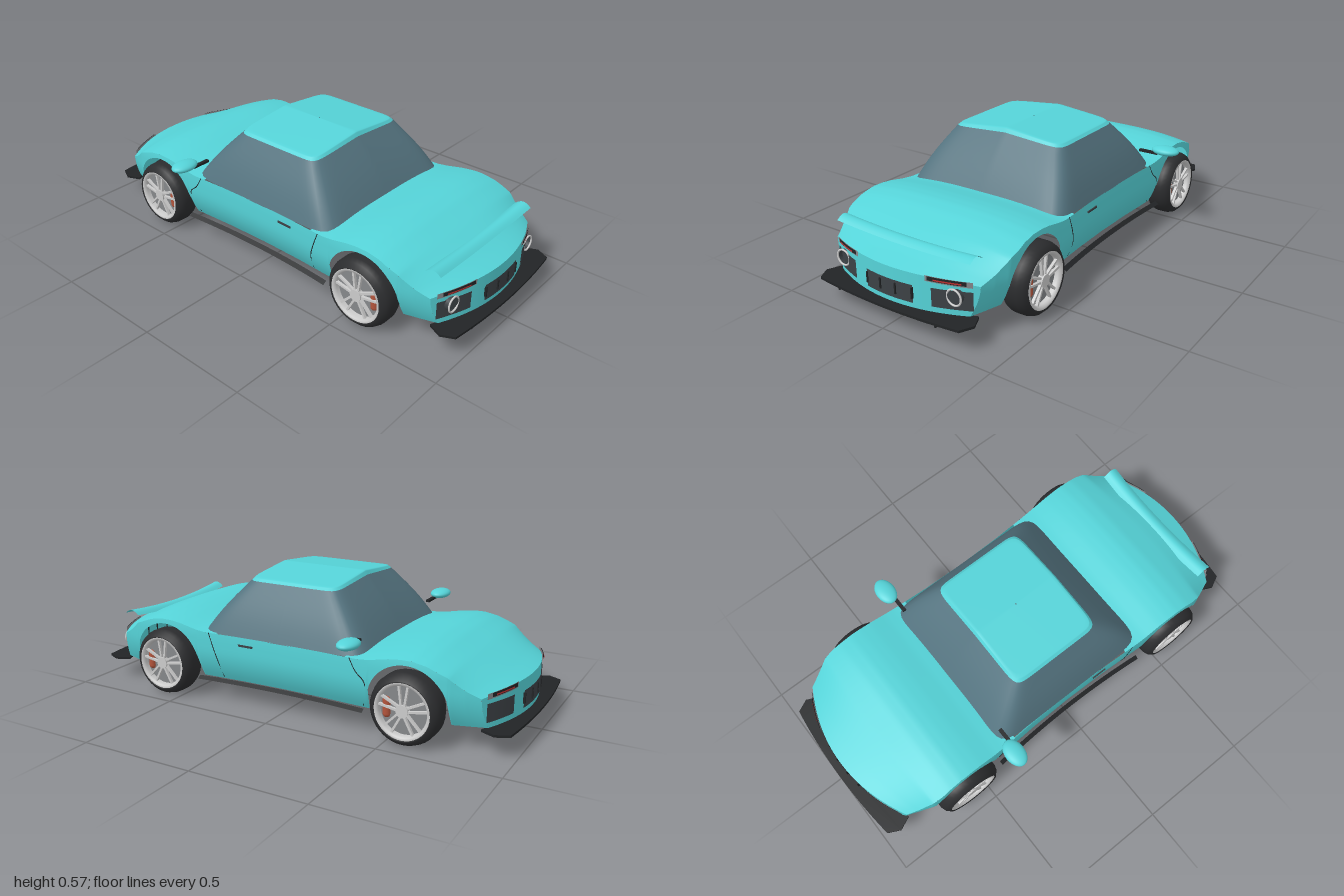
import * as THREE from 'three';
import { ParametricGeometry } from 'three/addons/geometries/ParametricGeometry.js';

const mat = (color) => new THREE.MeshStandardMaterial({ color, side: THREE.DoubleSide });
const PAINT = mat(0x55d3d8), GLASS = mat(0x54737f), DARK = mat(0x3c4145), BLACK = mat(0x222426);
const RUBBER = mat(0x2b2c2e), METAL = mat(0xc4c6c8), DISC = mat(0x85878a), RED = mat(0xc03030), ORANGE = mat(0xb4553c);

function add(parent, name, geometry, material, x = 0, y = 0, z = 0) {
  const m = new THREE.Mesh(geometry, material);
  m.name = name;
  m.position.set(x, y, z);
  parent.add(m);
  return m;
}
function surface(fn, nu, nv) {
  const g = new ParametricGeometry((u, v, p) => p.set(...fn(u, v)), nu, nv);
  g.computeVertexNormals();
  return g;
}
const lerp = THREE.MathUtils.lerp;
// piecewise lookup through [position, value] pairs
function table(pts, t) {
  for (let i = 1; i < pts.length; i++) {
    const [a, va] = pts[i - 1], [b, vb] = pts[i];
    if (t <= b) return lerp(va, vb, Math.max(0, (t - a) / (b - a)));
  }
  return pts[pts.length - 1][1];
}

// body rules, all symmetric front to back
const END = 0.955, AXLE = 0.58, WHEEL_Y = 0.148;
const halfWidth = (z) => table([[0, .39], [.2, .394], [.4, .405], [.58, .412], [.7, .41], [.77, .4], [.87, .38], [.955, .358]], Math.abs(z));
const crown = (z) => table([[.3, .32], [.37, .333], [.42, .34], [.5, .358], [.55, .365], [.6, .367], [.66, .358], [.76, .323], [.89, .268], [.955, .243]], Math.abs(z));
const shoulder = (z) => Math.abs(z) < .37 ? .31 : crown(z) - table([[.37, .023], [.5, .025], [.75, .03], [.955, .02]], Math.abs(z));
const bow = (x, z) => z - Math.sign(z) * .74 * x * x * Math.max(0, (Math.abs(z) - .74) / (END - .74));
const sideX = (z, y) => halfWidth(z) * (1 - 1.6 * Math.pow(Math.max(0, .24 - y), 2) / .3 - 4 * Math.pow(Math.max(0, y - .28), 2));
const lowEdge = (z) => {
  const d = Math.abs(z) - AXLE, r = .172;
  return Math.abs(d) < r ? .148 + Math.sqrt(r * r - d * d) : .1;
};
const deckY = (z, s) => lerp(shoulder(z), crown(z), 1 - Math.pow(Math.abs(s), 3));

function makeBody() {
  const g = new THREE.Group();
  g.name = 'body';
  for (const side of [1, -1]) {
    // flank with wheel arches
    add(g, 'sidePanel', surface((u, v) => {
      const z = lerp(-END, END, u), y = lerp(lowEdge(z), shoulder(z), v), x = side * sideX(z, y);
      return [x, y, bow(x, z)];
    }, 240, 10), PAINT);
    // hood and rear deck
    add(g, side > 0 ? 'rearDeck' : 'hood', surface((u, v) => {
      const z = side * lerp(.31, END, u), s = v * 2 - 1, x = s * sideX(z, shoulder(z));
      return [x, deckY(z, s), bow(x, z)];
    }, 40, 32), PAINT);
  }
  return g;
}

// bumper with grilles and lamps, built at +z
const patch = (x0, x1, y0, y1, out = .004, skew = 0) => surface((u, v) => {
  const x = lerp(x0, x1, u), y = lerp(y0, y1, v) + skew * (u - .5);
  return [x, y, END - .74 * x * x + out];
}, 10, 2);

function makeEnd(name) {
  const g = new THREE.Group();
  g.name = name;
  add(g, 'bumper', surface((u, v) => {
    const s = u * 2 - 1, y = lerp(.1, deckY(END, s), v), x = s * sideX(END, y);
    return [x, y, bow(x, END)];
  }, 32, 6), PAINT);
  add(g, 'centreGrille', patch(-.113, .113, .122, .195), DARK);
  for (const x of [-.11, -.037, .037, .11]) add(g, 'grilleBar', new THREE.BoxGeometry(.006, .045, .012), BLACK, x, .162, END - .74 * x * x + .003);
  for (const s of [1, -1]) {
    add(g, 'sideGrille', patch(s * .187, s * .335, .124, .2), DARK);
    add(g, 'lampHousing', patch(s * .165, s * .335, .22, .243, .004, -.008), DISC);
    add(g, 'lampFrame', patch(s * .175, s * .315, .226, .243, .007, -.006), BLACK);
    add(g, 'lamp', patch(s * .2, s * .3, .23, .236, .01, -.004), RED);
  }
  // flat lip under the bumper
  const lip = new THREE.Shape();
  lip.moveTo(-.345, .86);
  lip.lineTo(-.372, .92);
  lip.lineTo(-.345, .975);
  lip.quadraticCurveTo(0, 1.02, .345, .975);
  lip.lineTo(.372, .92);
  lip.lineTo(.345, .86);
  lip.quadraticCurveTo(0, 1.0, -.345, .86);
  const lipGeo = new THREE.ExtrudeGeometry(lip, { depth: .01, bevelEnabled: false, curveSegments: 20 });
  add(g, 'lip', lipGeo.rotateX(Math.PI / 2), BLACK, 0, .1, 0);
  return g;
}

// greenhouse outline: a rounded rectangle swept upward
const outline = (u, hx, hz) => {
  const a = u * Math.PI * 2, c = Math.cos(a), s = Math.sin(a), n = 12;
  const r = Math.pow(Math.pow(Math.abs(c), n) + Math.pow(Math.abs(s), n), -1 / n);
  return [r * c * hx, r * s * hz];
};
const rimY = (x) => .548 - .07 * Math.abs(x);

function makeCabin() {
  const g = new THREE.Group();
  g.name = 'cabin';
  add(g, 'windows', surface((u, v) => {
    const bulge = .01 * Math.sin(Math.PI * v);
    const [x, z] = outline(u, lerp(.39, .275, v) + bulge, lerp(.395, .215, v) + bulge);
    return [x, lerp(.308, rimY(x), v), z + .01];
  }, 128, 10), GLASS);
  add(g, 'roof', surface((u, v) => {
    const k = v < .2 ? 1 - .25 * v : lerp(.95, .01, (v - .2) / .8);
    const [x, z] = outline(u, .275 * k, .215 * k);
    const top = .567 - .1 * Math.abs(x);
    return [x, v < .2 ? lerp(rimY(x), top, v / .2) : top, z + .01];
  }, 128, 20), PAINT);
  return g;
}

// wheel with its outer face on +x
function makeWheel() {
  const g = new THREE.Group();
  const ring = (pts) => new THREE.LatheGeometry(pts.map((p) => new THREE.Vector2(...p)), 40).rotateZ(-Math.PI / 2);
  add(g, 'tire', ring([[.114, -.05], [.13, -.055], [.14, -.05], [.147, -.03], [.147, .015], [.14, .037], [.122, .055], [.114, .05]]), RUBBER);
  add(g, 'rim', ring([[.114, -.05], [.108, -.04], [.1, 0], [.1, .04], [.106, .052], [.116, .052]]), METAL);
  add(g, 'brakeDisc', new THREE.CylinderGeometry(.1, .1, .02, 32).rotateZ(Math.PI / 2), DISC, .015);
  add(g, 'hub', new THREE.CylinderGeometry(.022, .026, .03, 20).rotateZ(Math.PI / 2), METAL, .035);
  for (let i = 0; i < 5; i++) {
    const spoke = new THREE.Group();
    spoke.name = 'spoke';
    spoke.rotation.x = i * Math.PI * 2 / 5;
    for (const s of [1, -1]) add(spoke, 'spokeArm', new THREE.BoxGeometry(.012, .088, .009), METAL, .038, .06, s * .013).rotation.x = s * .14;
    g.add(spoke);
  }
  return g;
}

export function createModel() {
  const car = new THREE.Group();
  car.name = 'car';
  const front = makeEnd('frontEnd'), rear = makeEnd('rearEnd');
  front.rotation.y = Math.PI;
  car.add(makeBody(), makeCabin(), front, rear);

  // exhaust tips and diffuser fins
  for (const x of [-.275, .275]) {
    add(rear, 'exhaustTip', new THREE.TorusGeometry(.032, .004, 8, 32), METAL, x, .178, .912);
    add(rear, 'exhaustPipe', new THREE.CylinderGeometry(.03, .03, .03, 24, 1, true).rotateX(Math.PI / 2), DARK, x, .178, .898);
  }
  for (const x of [-.24, -.08, .08, .24]) add(rear, 'diffuserFin', new THREE.BoxGeometry(.006, .014, .07), BLACK, x, .084, .945);

  // arched spoiler blade dipping at the centre
  add(car, 'spoiler', surface((u, v) => {
    const s = u * 2 - 1, dip = .018 * (1 - s * s);
    return [s * .328, .3 + .027 * Math.sin(Math.PI * (.12 + .8 * v)) - dip, lerp(.872, .8, v) + .008 * s * s];
  }, 24, 8), PAINT);

  for (const s of [1, -1]) {
    // wheels and calipers
    for (const z of [AXLE, -AXLE]) {
      const wheel = makeWheel();
      wheel.name = z > 0 ? 'rearWheel' : 'frontWheel';
      wheel.position.set(s * .395, WHEEL_Y, z);
      if (s < 0) wheel.rotation.y = Math.PI;
      car.add(wheel);
      add(car, 'brakeCaliper', new THREE.CapsuleGeometry(.017, .055, 4, 10), ORANGE, s * .417, WHEEL_Y, z + .074);
    }
    // mirrors
    add(car, 'mirror', new THREE.SphereGeometry(1, 24, 16), PAINT, s * .46, .386, -.36).scale.set(.064, .021, .043);
    add(car, 'mirrorArm', new THREE.BoxGeometry(.09, .01, .016), BLACK, s * .385, .371, -.345);
    // sill strip
    add(car, 'sill', surface((u, v) => {
      const z = lerp(-.4, .4, u);
      return [s * (lerp(.385, .403, v) + .12 * z * z), lerp(.112, .1, v), z];
    }, 20, 1), BLACK);
    // door seams and handle
    const seam = (pts) => new THREE.TubeGeometry(new THREE.CatmullRomCurve3(pts.map(([z, y]) => new THREE.Vector3(s * sideX(z, y), y, z))), 20, .002, 6);
    add(car, 'doorSeam', seam([[.35, .31], [.325, .24], [.31, .19], [.3, .11]]), BLACK);
    add(car, 'doorSeam', seam([[-.33, .31], [-.36, .26], [-.4, .22], [-.38, .11]]), BLACK);
    add(car, 'doorHandle', new THREE.BoxGeometry(.012, .008, .07), DARK, s * .392, .275, .165);
  }
  return car;
}
